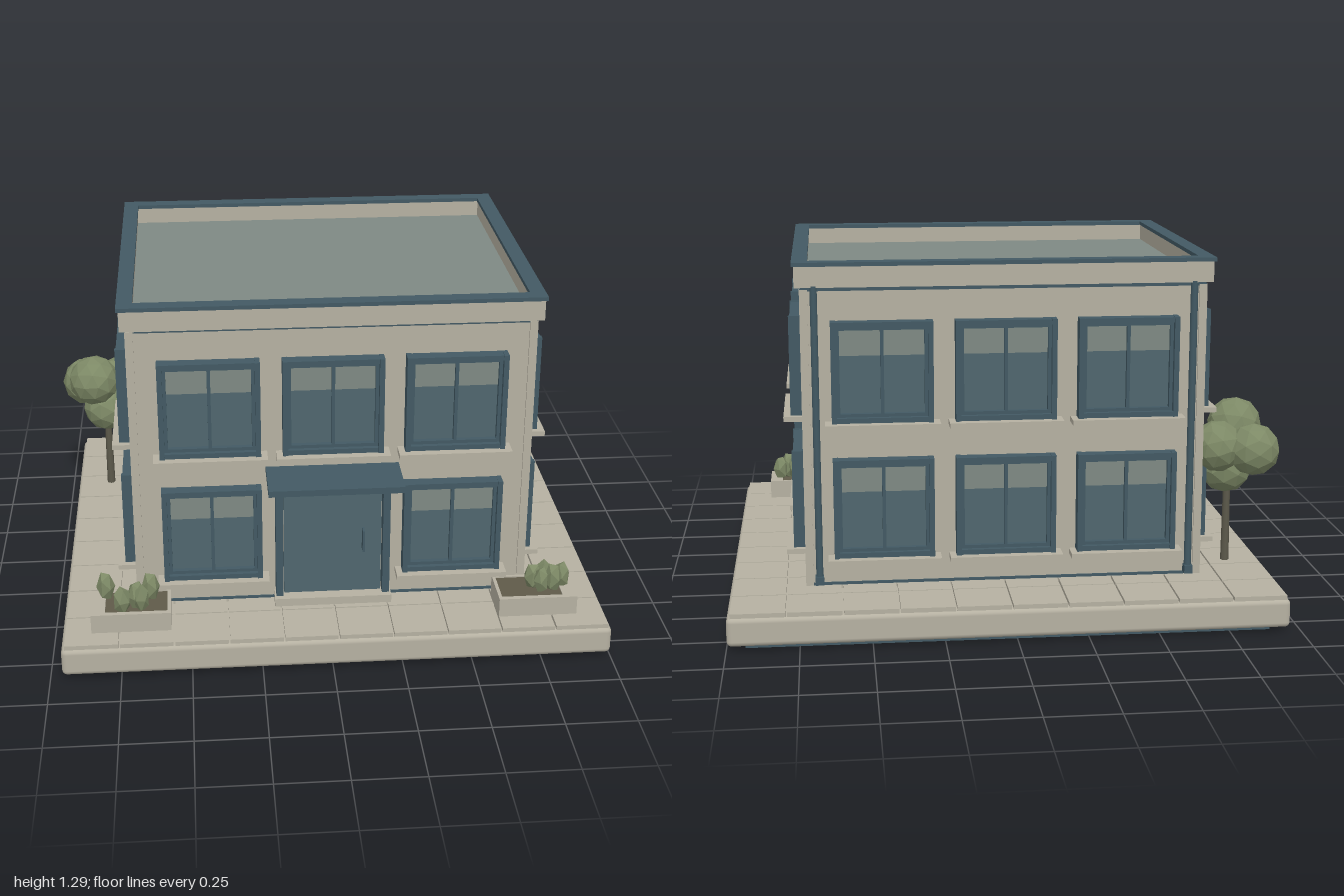
import * as THREE from 'three';
import { RoundedBoxGeometry } from 'three/addons/geometries/RoundedBoxGeometry.js';

const mat = (name, color) => Object.assign(new THREE.MeshStandardMaterial({ color }), { name });

export function createModel() {
  const stone = mat('warm stone', 0xb5b0a1);
  const teal = mat('dark teal metal', 0x425963);
  const glass = mat('window glass', 0x50666e);
  const pale = mat('pale grey green', 0x7e8983);
  const leaf = mat('leaf green', 0x7d8966);
  const soil = mat('soil', 0x5f5a49);
  const bark = mat('bark', 0x5c594b);
  leaf.flatShading = true;

  const model = new THREE.Group();
  model.name = 'officeBuilding';

  function add(parent, name, geometry, material, x = 0, y = 0, z = 0) {
    const m = new THREE.Mesh(geometry, material);
    m.name = name;
    m.position.set(x, y, z);
    parent.add(m);
    return m;
  }
  // box given by its extents
  function box(parent, name, material, x0, x1, y0, y1, z0, z1) {
    return add(parent, name, new THREE.BoxGeometry(x1 - x0, y1 - y0, z1 - z0), material,
      (x0 + x1) / 2, (y0 + y1) / 2, (z0 + z1) / 2);
  }
  // hollow rectangular band around the building, seen from above
  function ring(parent, name, material, ox, oz, ix, iz, y0, y1) {
    const s = new THREE.Shape();
    s.moveTo(-ox, -oz).lineTo(ox, -oz).lineTo(ox, oz).lineTo(-ox, oz).closePath();
    const h = new THREE.Path();
    h.moveTo(-ix, -iz).lineTo(-ix, iz).lineTo(ix, iz).lineTo(ix, -iz).closePath();
    s.holes.push(h);
    const g = new THREE.ExtrudeGeometry(s, { depth: y1 - y0, bevelEnabled: false });
    g.rotateX(-Math.PI / 2);
    return add(parent, name, g, material, 0, y0, 0);
  }

  // ground slab with grid of paving
  const ground = new THREE.Group();
  ground.name = 'ground';
  ground.position.x = 0.02;
  model.add(ground);
  box(ground, 'underplate', teal, -0.915, 0.915, 0, 0.025, -0.815, 0.815);
  add(ground, 'slab', new RoundedBoxGeometry(1.955, 0.102, 1.72, 2, 0.018), stone, 0, 0.07, 0);
  const px = 0.1935, pz = 0.1895;
  for (let i = 0; i < 10; i++) for (let j = 0; j < 9; j++) {
    const x = (i - 4.5) * px, z = (j - 4) * pz;
    if (Math.abs(x) < 0.5 && Math.abs(z) < 0.4) continue; // covered by the house
    box(ground, 'paver', stone, x - px / 2 + 0.003, x + px / 2 - 0.003, 0.115, 0.135,
      z - pz / 2 + 0.003, z + pz / 2 - 0.003);
  }

  // main block
  const house = new THREE.Group();
  house.name = 'house';
  house.position.x = 0.017;
  model.add(house);
  const WX = 0.703, WZ = 0.568;
  box(house, 'walls', stone, -WX, WX, 0.12, 1.21, -WZ, WZ);
  ring(house, 'baseTrim', teal, WX + 0.004, WZ + 0.004, WX - 0.02, WZ - 0.02, 0.135, 0.145);
  ring(house, 'topTrim', teal, WX + 0.004, WZ + 0.004, WX - 0.02, WZ - 0.02, 1.19, 1.205);
  ring(house, 'parapet', stone, 0.728, 0.597, 0.685, 0.555, 1.205, 1.28);
  ring(house, 'parapetCap', teal, 0.736, 0.602, 0.681, 0.548, 1.278, 1.292);
  box(house, 'roof', pale, -0.69, 0.69, 1.205, 1.218, -0.56, 0.56);

  for (const sx of [-1, 1]) {
    for (const sz of [-1, 1]) {
      add(house, 'cornerPost', new THREE.BoxGeometry(0.028, 1.06, 0.026), stone,
        sx * (WX - 0.006), 0.665, sz * (WZ - 0.006));
      add(house, 'postBracket', new THREE.BoxGeometry(0.02, 0.025, 0.02), teal,
        sx * (WX - 0.004), 1.185, sz * (WZ - 0.004));
    }
    // rear downpipes
    add(house, 'downpipe', new THREE.CylinderGeometry(0.013, 0.013, 1.05, 10), teal, sx * 0.662, 0.685, -0.587);
    add(house, 'downpipeShoe', new THREE.BoxGeometry(0.03, 0.03, 0.035), teal, sx * 0.662, 0.16, -0.59);
  }

  // window facing +z, wall plane at z = 0
  function makeWindow() {
    const w = new THREE.Group(), H = 0.177;
    w.name = 'window';
    for (const s of [-1, 1]) {
      add(w, 'frameSide', new THREE.BoxGeometry(0.018, 0.356, 0.05), teal, s * (H - 0.009), 0, 0.025);
      add(w, 'frameRail', new THREE.BoxGeometry(0.33, 0.018, 0.046), teal, 0, s * (H - 0.009), 0.023);
      add(w, 'sashSide', new THREE.BoxGeometry(0.012, 0.32, 0.03), teal, s * (H - 0.024), 0, 0.015);
      add(w, 'sashRail', new THREE.BoxGeometry(0.32, 0.012, 0.03), teal, 0, s * (H - 0.024), 0.015);
    }
    add(w, 'mullion', new THREE.BoxGeometry(0.012, 0.3, 0.03), teal, 0, 0, 0.015);
    add(w, 'pane', new THREE.BoxGeometry(0.32, 0.32, 0.01), glass, 0, 0, 0.006);
    add(w, 'blind', new THREE.BoxGeometry(0.294, 0.092, 0.004), pale, 0, 0.102, 0.013);
    add(w, 'sill', new THREE.BoxGeometry(0.4, 0.018, 0.075), stone, 0, -H - 0.01, 0.0375);
    return w;
  }
  const windowProto = makeWindow();
  function placeWindow(x, y, z, turn) {
    const w = windowProto.clone();
    w.position.set(x, y, z);
    w.rotation.y = turn;
    house.add(w);
  }
  for (const y of [0.422, 0.909]) {
    for (const x of [-0.431, 0, 0.431]) {
      if (x !== 0 || y > 0.6) placeWindow(x, y, WZ, 0);
      placeWindow(x, y, -WZ, Math.PI);
    }
    for (const z of [-0.285, 0.285]) {
      placeWindow(WX, y, z, Math.PI / 2);
      placeWindow(-WX, y, z, -Math.PI / 2);
    }
  }

  // entrance
  const entrance = new THREE.Group();
  entrance.name = 'entrance';
  entrance.position.z = WZ;
  house.add(entrance);
  box(entrance, 'door', glass, -0.176, 0.176, 0.165, 0.605, 0, 0.024);
  box(entrance, 'doorHead', teal, -0.19, 0.19, 0.6, 0.625, 0, 0.03);
  for (const s of [-1, 1]) {
    add(entrance, 'doorPost', new THREE.BoxGeometry(0.026, 0.475, 0.048), teal, s * 0.193, 0.39, 0.024);
  }
  box(entrance, 'threshold', stone, -0.212, 0.212, 0.13, 0.165, 0, 0.07);
  box(entrance, 'handle', teal, 0.106, 0.114, 0.34, 0.425, 0.024, 0.058);
  box(entrance, 'canopy', teal, -0.237, 0.237, 0.645, 0.668, 0, 0.195);

  // spiky low shrub
  function shrub(parent, x, z, r, h) {
    const g = new THREE.IcosahedronGeometry(1, 0);
    const m = add(parent, 'shrub', g, leaf, x, 0.2 + h * 0.42, z);
    m.scale.set(r, h * 0.56, r);
    m.rotation.y = x * 40;
  }
  // planters flanking the entrance, s gives the side
  function planter(s, shrubs) {
    const p = new THREE.Group();
    p.name = s > 0 ? 'leftPlanter' : 'rightPlanter';
    p.position.set(0.016 + s * 0.728, 0, 0.685);
    model.add(p);
    box(p, 'planterBox', stone, -0.141, 0.141, 0.13, 0.19, -0.085, 0.085);
    box(p, 'planterFront', stone, -0.141, 0.141, 0.185, 0.206, 0.066, 0.085);
    box(p, 'planterBack', stone, -0.141, 0.141, 0.185, 0.206, -0.085, -0.075);
    add(p, 'planterOuterEnd', new THREE.BoxGeometry(0.05, 0.021, 0.15), stone, s * 0.116, 0.1955, -0.005);
    add(p, 'planterInnerEnd', new THREE.BoxGeometry(0.012, 0.021, 0.15), stone, s * -0.135, 0.1955, -0.005);
    add(p, 'planterSoil', new THREE.BoxGeometry(0.23, 0.012, 0.15), soil, s * -0.02, 0.195, -0.005);
    for (const [x, z, r, h] of shrubs) shrub(p, x, z, r, h);
  }
  planter(-1, [[-0.09, -0.05, 0.034, 0.11], [0.07, -0.035, 0.034, 0.11], [0.02, 0.018, 0.034, 0.105],
    [-0.03, 0.045, 0.034, 0.1], [0.038, 0.035, 0.03, 0.1]]);
  planter(1, [[-0.005, -0.01, 0.034, 0.1], [0.035, -0.015, 0.034, 0.11], [0.1, -0.012, 0.032, 0.1],
    [0.065, 0.012, 0.034, 0.11], [0.02, 0.02, 0.03, 0.1]]);

  // tree behind the right side
  const tree = new THREE.Group();
  tree.name = 'tree';
  model.add(tree);
  add(tree, 'trunk', new THREE.CylinderGeometry(0.013, 0.016, 0.34, 8), bark, -0.823, 0.3, -0.42);
  const crown = new THREE.IcosahedronGeometry(1, 1);
  [[-0.903, 0.57, -0.48, 0.097], [-0.865, 0.635, -0.335, 0.1],
    [-0.775, 0.58, -0.455, 0.095], [-0.82, 0.49, -0.4, 0.098]].forEach(([x, y, z, r], i) => {
    const m = add(tree, 'foliage', crown, leaf, x, y, z);
    m.scale.setScalar(r);
    m.rotation.set(i, i * 2, 0);
  });
  return model;
}
